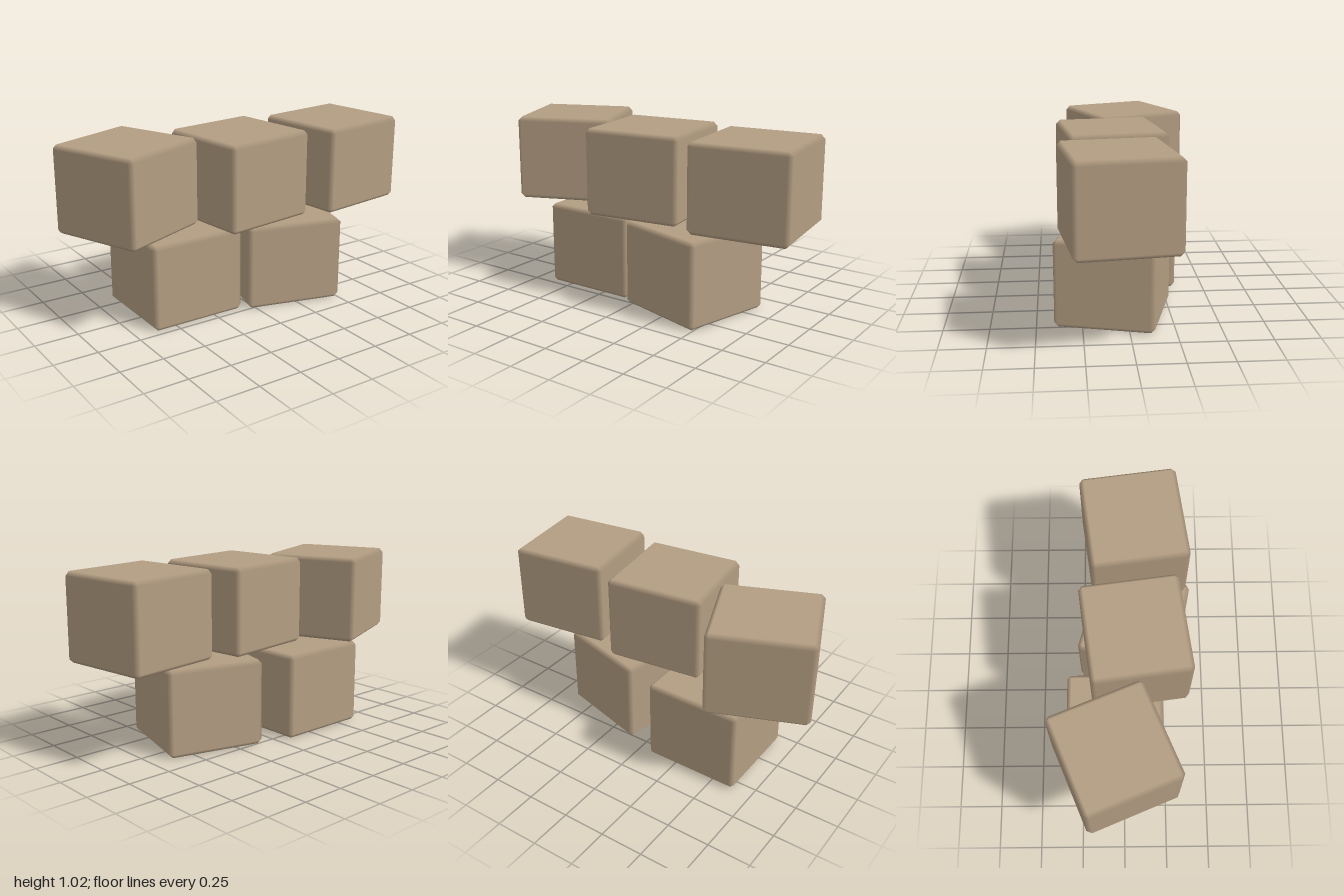
import * as THREE from 'three';
import { ConvexGeometry } from 'three/addons/geometries/ConvexGeometry.js';

const SIZE = [0.57, 0.495, 0.556];
const BEVEL = 0.024;

// Box with bevelled edges; normals follow the main faces so the bevels shade softly
function bevelledBox(size, bevel) {
  const points = [];
  for (const sx of [-1, 1]) for (const sy of [-1, 1]) for (const sz of [-1, 1]) {
    for (let axis = 0; axis < 3; axis++) {
      const p = [sx, sy, sz].map((s, i) => s * (size[i] / 2 - (i === axis ? 0 : bevel)));
      points.push(new THREE.Vector3(...p));
    }
  }
  const geometry = new ConvexGeometry(points);
  const pos = geometry.attributes.position;
  const normal = geometry.attributes.normal;
  for (let i = 0; i < pos.count; i++) {
    const p = [pos.getX(i), pos.getY(i), pos.getZ(i)];
    normal.setXYZ(i, ...p.map((v, k) => (Math.abs(v) > size[k] / 2 - bevel / 2 ? Math.sign(v) : 0)));
  }
  return geometry;
}

export function createModel() {
  const model = new THREE.Group();
  model.name = 'stackedBlocks';
  const stone = new THREE.MeshStandardMaterial({ color: 0xb39d82 });
  stone.name = 'tan stone';
  const geometry = bevelledBox(SIZE, BEVEL);

  const lowerY = SIZE[1] / 2;
  const upperY = lowerY + 0.525;
  // name, x, y, z, turn in degrees
  const blocks = [
    ['lowerRightBlock', -0.355, lowerY, -0.052, 0],
    ['lowerLeftBlock', 0.3, lowerY, 0.067, -15],
    ['upperRightBlock', -0.642, upperY, -0.052, 22.3],
    ['upperMiddleBlock', 0.014, upperY, 0.065, 7.5],
    ['upperLeftBlock', 0.684, upperY, 0.065, 7.5],
  ];
  for (const [name, x, y, z, turn] of blocks) {
    const block = new THREE.Mesh(geometry, stone);
    block.name = name;
    block.position.set(x, y, z);
    block.rotation.y = THREE.MathUtils.degToRad(turn);
    model.add(block);
  }
  return model;
}
